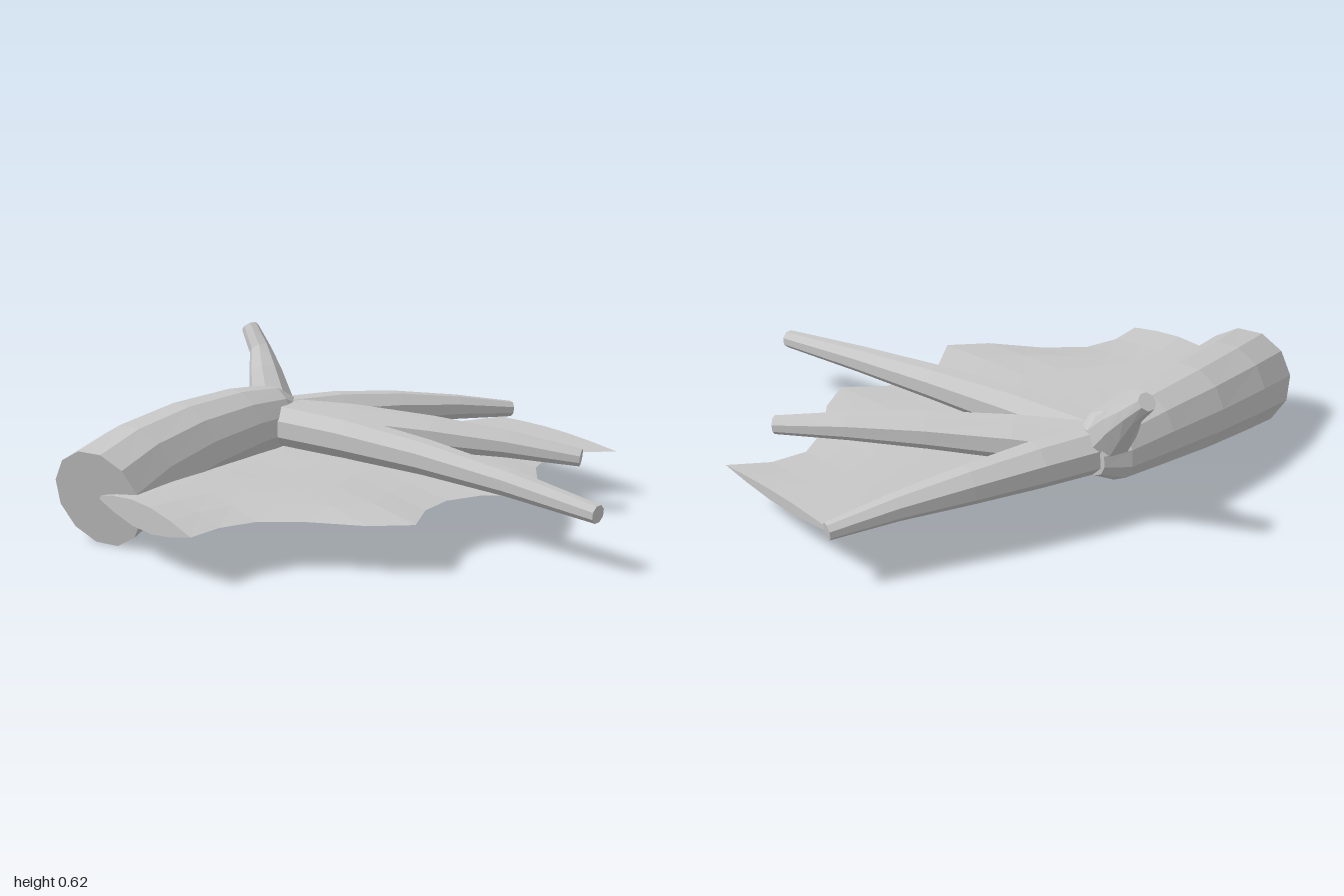
import * as THREE from 'three';

// Flat-shaded mesh from positions and triangle indices
function facetedMesh(name, pos, idx, material) {
  const geometry = new THREE.BufferGeometry();
  geometry.setAttribute('position', new THREE.Float32BufferAttribute(pos, 3));
  geometry.setIndex(idx);
  const flat = geometry.toNonIndexed();
  flat.computeVertexNormals();
  const mesh = new THREE.Mesh(flat, material);
  mesh.name = name;
  return mesh;
}

// Tapered limb with flat end caps; stations are [x, y, z, radius]
function taperedLimb(name, stations, sides, material) {
  const curve = new THREE.CatmullRomCurve3(stations.map(s => new THREE.Vector3(s[0], s[1], s[2])));
  const steps = stations.length - 1;
  const pos = [], idx = [];
  for (let i = 0; i <= steps; i++) {
    const c = curve.getPoint(i / steps);
    const r = stations[i][3];
    const tangent = curve.getTangent(i / steps);
    const side = new THREE.Vector3(0, 1, 0).cross(tangent).normalize();
    const up = tangent.clone().cross(side);
    for (let j = 0; j < sides; j++) {
      const a = (j + 0.5) / sides * Math.PI * 2;
      const p = c.clone().addScaledVector(side, r * Math.cos(a)).addScaledVector(up, r * Math.sin(a));
      pos.push(p.x, p.y, p.z);
    }
  }
  for (let i = 0; i < steps; i++) {
    for (let j = 0; j < sides; j++) {
      const a = i * sides + j, b = i * sides + (j + 1) % sides;
      idx.push(a, b, a + sides, b, b + sides, a + sides);
    }
  }
  const last = steps * sides;
  for (let j = 1; j < sides - 1; j++) {
    idx.push(0, j + 1, j, last, last + j, last + j + 1);
  }
  return facetedMesh(name, pos, idx, material);
}

// Thin lens-shaped membrane from the bone line to a scalloped trailing edge
function wingMembrane(material) {
  const edge = [0.14, 0.115, 0.14, 0.25, 0.42, 0.515, 0.41, 0.37, 0.4, 0.505, 0.42, 0.27, 0.19, 0.21, 0.3];
  const cols = edge.length - 1, rows = 5, ring = rows * 2;
  const pos = [], idx = [];
  for (let i = 0; i <= cols; i++) {
    const u = i / cols;
    const x = -0.93 + 1.875 * u;
    const back = x < 0 ? -0.62 + 0.18 * x * x : -0.6 + 0.26 * x;
    const rise = THREE.MathUtils.lerp(0.045, 0.015, u);
    const sag = THREE.MathUtils.lerp(0.055, 0.03, u) + 0.012 * Math.sin(Math.PI * u);
    // over the top to the trailing edge, then back underneath
    for (let j = 0; j < ring; j++) {
      const v = j <= rows ? j / rows : 2 - j / rows;
      const bulge = Math.sin(Math.PI * v) * (j <= rows ? rise : -sag);
      pos.push(x, 0.2 - 0.008 * v + bulge, THREE.MathUtils.lerp(back, edge[i], v));
    }
  }
  for (let i = 0; i < cols; i++) {
    for (let j = 0; j < ring; j++) {
      const a = i * ring + j, b = i * ring + (j + 1) % ring;
      idx.push(a, b, a + ring, b, b + ring, a + ring);
    }
  }
  const last = cols * ring;
  for (let j = 1; j < ring - 1; j++) {
    idx.push(0, j + 1, j, last, last + j, last + j + 1);
  }
  return facetedMesh('wingMembrane', pos, idx, material);
}

export function createModel() {
  const group = new THREE.Group();
  group.name = 'wing';
  const grey = new THREE.MeshStandardMaterial({ color: 0xc6c6c6, flatShading: true });
  grey.name = 'lightGrey';

  // forearm, thick at the shoulder end and closing at the wrist
  group.add(taperedLimb('forearm', [
    [-0.932, 0.19, -0.44, 0.19], [-0.72, 0.24, -0.515, 0.18], [-0.46, 0.278, -0.575, 0.166],
    [-0.2, 0.3, -0.61, 0.147], [-0.02, 0.303, -0.625, 0.128], [0.055, 0.298, -0.615, 0.085],
  ], 12, grey));

  // three long fingers fanning out from the wrist
  const fingers = {
    leadingFinger: [[0, 0.295, -0.605, 0.088], [0.25, 0.295, -0.55, 0.084], [0.5, 0.283, -0.485, 0.07], [0.75, 0.262, -0.41, 0.05], [0.985, 0.23, -0.34, 0.032]],
    middleFinger: [[0, 0.295, -0.6, 0.085], [0.17, 0.295, -0.36, 0.08], [0.35, 0.283, -0.1, 0.068], [0.52, 0.262, 0.14, 0.052], [0.68, 0.23, 0.37, 0.034]],
    trailingFinger: [[-0.04, 0.295, -0.59, 0.085], [0.03, 0.298, -0.22, 0.08], [0.1, 0.288, 0.15, 0.066], [0.163, 0.265, 0.53, 0.05], [0.219, 0.23, 0.91, 0.034]],
  };
  for (const [name, stations] of Object.entries(fingers)) group.add(taperedLimb(name, stations, 8, grey));

  // raised thumb behind the wrist
  group.add(taperedLimb('thumb', [
    [-0.01, 0.34, -0.64, 0.09], [0.03, 0.45, -0.735, 0.066], [0.06, 0.53, -0.81, 0.043], [0.068, 0.607, -0.887, 0.034],
  ], 8, grey));

  group.add(wingMembrane(grey));
  return group;
}
